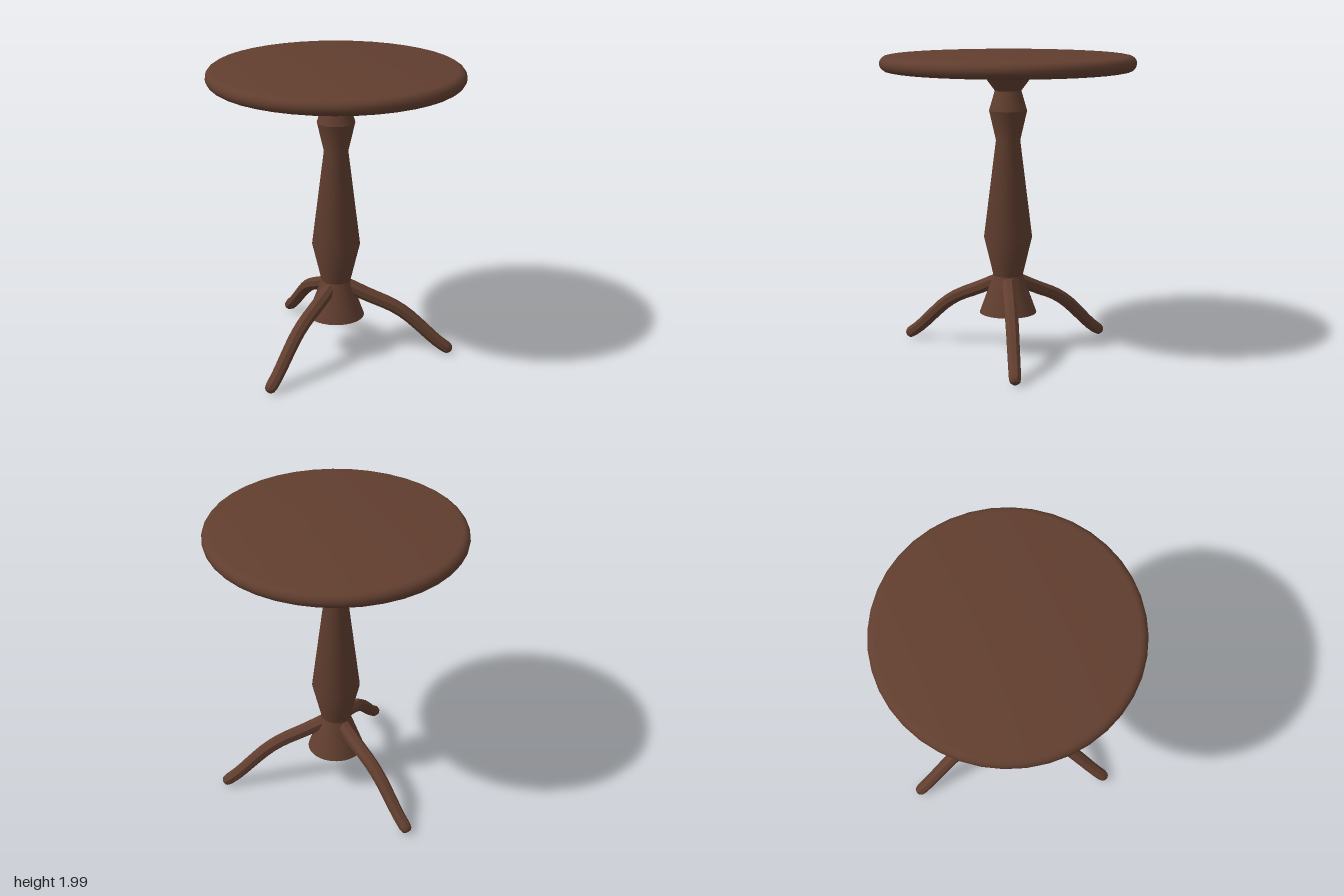
import * as THREE from 'three';
import { toCreasedNormals } from 'three/addons/utils/BufferGeometryUtils.js';

const wood = new THREE.MeshStandardMaterial({ color: 0x613e2f });
wood.name = 'dark brown wood';

const SEGMENTS = 40;

function part(name, geometry, crease) {
  const mesh = new THREE.Mesh(toCreasedNormals(geometry, crease), wood);
  mesh.name = name;
  return mesh;
}

function turned(points) {
  return new THREE.LatheGeometry(points.map(([r, y]) => new THREE.Vector2(r, y)), SEGMENTS);
}

// Disc with a half-round rim
function tabletopGeometry() {
  const points = [[0, 1.9]];
  for (let i = 0; i <= 8; i++) {
    const a = -Math.PI / 2 + (i / 8) * Math.PI;
    points.push([0.786 + 0.05 * Math.cos(a), 1.95 + 0.05 * Math.sin(a)]);
  }
  points.push([0, 2]);
  return turned(points);
}

// Octagonal sections swept along a curved centre line in the yz plane, leg pointing to +z
function legGeometry() {
  const SIDES = 8;
  const curve = new THREE.CatmullRomCurve3([
    [0.07, 0.5], [0.22, 0.43], [0.38, 0.36], [0.48, 0.295], [0.58, 0.205], [0.68, 0.11], [0.785, 0.032],
  ].map(([z, y]) => new THREE.Vector3(0, y, z)));

  // [distance along the curve, radius]; both ends are bevelled
  const rings = [[0, 0.001], [0, 0.034], [0.02, 0.049]];
  for (let i = 1; i <= 12; i++) rings.push([0.02 + i * 0.0775, 0.049 - i * 0.0007]);
  rings.push([0.985, 0.034], [1, 0.02], [1, 0.001]);

  const positions = [];
  const index = [];
  rings.forEach(([t, r], i) => {
    const p = curve.getPointAt(t);
    const d = curve.getTangentAt(t);
    for (let k = 0; k < SIDES; k++) {
      const a = ((k + 0.5) / SIDES) * Math.PI * 2;
      const up = r * Math.sin(a);
      positions.push(r * Math.cos(a), p.y + up * d.z, p.z - up * d.y);
      if (i === 0) continue;
      const k2 = (k + 1) % SIDES;
      const a0 = (i - 1) * SIDES + k, b0 = (i - 1) * SIDES + k2;
      const a1 = i * SIDES + k, b1 = i * SIDES + k2;
      index.push(a0, b0, b1, a0, b1, a1);
    }
  });
  const geometry = new THREE.BufferGeometry();
  geometry.setAttribute('position', new THREE.Float32BufferAttribute(positions, 3));
  geometry.setIndex(index);
  return geometry;
}

export function createModel() {
  const table = new THREE.Group();
  table.name = 'pedestalTable';

  table.add(part('tabletop', tabletopGeometry(), 0.6));

  // Turned column, from the flared foot to the shallow cone under the top
  table.add(part('column', turned([
    [0, 0.285], [0.19, 0.285], [0.098, 0.54], [0.16, 0.8], [0.08, 1.445],
    [0.125, 1.64], [0.087, 1.77], [0.157, 1.865], [0, 1.9],
  ]), 0.5));

  // Three splayed legs: one at the back, two at the front
  const leg = legGeometry();
  [['backLeg', Math.PI], ['frontLeftLeg', Math.PI / 3], ['frontRightLeg', -Math.PI / 3]].forEach(([name, angle]) => {
    const mesh = part(name, leg, 0.6);
    mesh.rotation.y = angle;
    table.add(mesh);
  });

  return table;
}
